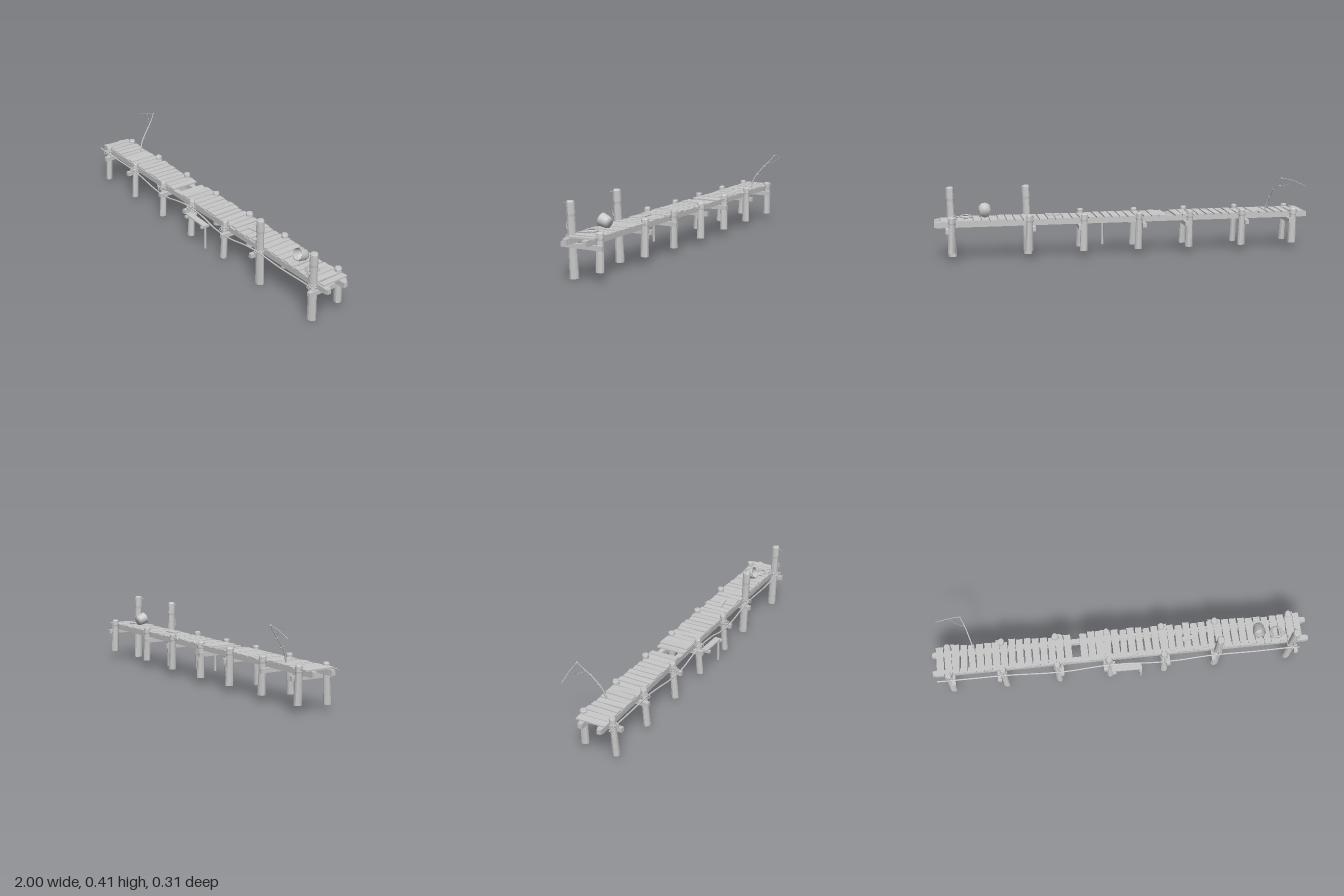
import * as THREE from 'three';

export function createModel() {
  const pier = new THREE.Group();
  pier.name = 'pier';
  const wood = new THREE.MeshStandardMaterial({ color: 0xc8c8c8, side: THREE.DoubleSide });
  wood.name = 'weatheredGrey';
  const V = (x, y, z) => new THREE.Vector3(x, y, z);

  // small seeded generator, result in -1..1
  let seed = 11;
  const rnd = () => {
    seed = (seed * 16807) % 2147483647;
    return (seed / 2147483647) * 2 - 1;
  };
  const add = (name, geo, parent = pier) => {
    const m = new THREE.Mesh(geo, wood);
    m.name = name;
    parent.add(m);
    return m;
  };
  const box = (name, w, h, d, x, y, z, parent) => {
    const m = add(name, new THREE.BoxGeometry(w, h, d), parent);
    m.position.set(x, y, z);
    return m;
  };
  const tube = (name, pts, r, sides = 6, parent) =>
    add(name, new THREE.TubeGeometry(new THREE.CatmullRomCurve3(pts), pts.length * 8, r, sides), parent);

  // round post with a worn, chamfered top, leaning from base to head
  const post = (name, base, head, r) => {
    const h = head.y - base.y;
    const profile = [[0, 0], [r * 1.08, 0], [r * 1.08, 0.001], [r, h * 0.5], [r * 0.93, h * 0.8],
      [r, h * 0.84], [r * 0.94, h - 0.006], [r * 0.78, h], [0, h]];
    const geo = new THREE.LatheGeometry(profile.map(p => new THREE.Vector2(...p)), 12);
    const pos = geo.attributes.position;
    const a = rnd() * 3;
    for (let i = 0; i < pos.count; i++) {
      const t = pos.getY(i) / h;
      const ang = Math.atan2(pos.getZ(i), pos.getX(i));
      const k = 1 + 0.06 * Math.sin(3 * ang + a);
      pos.setXYZ(i, base.x + pos.getX(i) * k + (head.x - base.x) * t, base.y + pos.getY(i),
        base.z + pos.getZ(i) * k + (head.z - base.z) * t);
    }
    const flat = geo.toNonIndexed();
    flat.computeVertexNormals();
    return add(name, flat);
  };

  // posts, cross beams and rope lashings
  const postX = [-0.917, -0.63, -0.343, -0.068, 0.225, 0.512, 0.91];
  postX.forEach((x, i) => {
    const tall = i > 4;
    const r = tall ? 0.021 : 0.017;
    if (tall) post('tallFrontPost', V(x - 0.004, 0, 0.088), V(x + 0.004, 0.368, 0.098), r);
    else post('frontPost', V(x + 0.004, 0.026, 0.108), V(x, 0.232 + rnd() * 0.004, 0.095), r);
    post('backPost', V(x + 0.006, 0.042 + rnd() * 0.006, -0.064), V(x, 0.232 + rnd() * 0.004, -0.062), 0.019);

    const side = i % 2 ? -1 : 1;
    const beam = box('crossBeam', 0.02, 0.023, 0.23, x + side * 0.022, 0.164, 0.023);
    beam.rotation.y = rnd() * 0.03;

    for (const dy of [0, 0.009]) {
      const ring = add('lashing', new THREE.TorusGeometry(r * 1.08, 0.003, 5, 16));
      ring.position.set(x, 0.19 + dy, tall ? 0.093 : 0.098);
      ring.rotation.x = Math.PI / 2 + rnd() * 0.12;
    }
    const knot = add('ropeKnot', new THREE.TorusGeometry(0.009, 0.003, 5, 12));
    knot.position.set(x, 0.194, 0.122);
    knot.rotation.y = Math.PI / 2;

    if (tall) {
      const pin = add('postPin', new THREE.CylinderGeometry(0.0016, 0.0016, 0.066, 6));
      pin.position.set(x, 0.353, 0.105);
      pin.rotation.x = Math.PI / 2;
      tube('postHook', [V(x, 0.268, 0.114), V(x, 0.262, 0.121), V(x, 0.245, 0.123), V(x, 0.23, 0.117)], 0.003);
    }
  });

  // long stringers
  box('frontStringer', 1.98, 0.029, 0.028, 0, 0.191, 0.072).rotation.x = 0.03;
  box('backStringer', 1.98, 0.029, 0.026, 0, 0.191, -0.031);
  for (const z of [0.072, -0.031]) for (const s of [-1, 1])
    box('stringerEnd', 0.05, 0.026, 0.022, s * 0.975, 0.191, z);

  // deck planks with a missing one
  const pitch = 0.0424;
  for (let i = 0; i < 46; i++) {
    const x = -0.957 + i * pitch;
    if (Math.abs(x + 0.24) < 0.022) continue;
    const plank = box('deckPlank', 0.036 + rnd() * 0.003, 0.008, 0.154 + rnd() * 0.009,
      x, 0.2105 + rnd() * 0.0015, 0.009 + rnd() * 0.005);
    plank.rotation.set(rnd() * 0.012, rnd() * 0.03, rnd() * 0.05);
  }
  const loose = box('loosePlank', 0.08, 0.006, 0.022, 0.37, 0.219, 0.016);
  loose.rotation.set(0, 0.15, 0.04);

  // rope slung along the front
  tube('frontRope', [[-0.98, 0.2], [-0.8, 0.197], [-0.63, 0.196], [-0.52, 0.184], [-0.42, 0.168], [-0.34, 0.163],
    [-0.27, 0.166], [-0.16, 0.188], [-0.068, 0.198], [0.06, 0.19], [0.14, 0.172], [0.22, 0.165], [0.31, 0.169],
    [0.42, 0.188], [0.512, 0.196], [0.7, 0.19], [0.91, 0.194], [0.95, 0.188]].map(([x, y]) => V(x, y, 0.118)), 0.0042);

  // low side landing with its leg
  const landing = new THREE.Group();
  landing.name = 'sideLanding';
  pier.add(landing);
  box('landingBoard', 0.16, 0.008, 0.034, 0.022, 0.161, 0.129, landing).rotation.z = -0.04;
  box('landingBearer', 0.018, 0.012, 0.07, -0.045, 0.155, 0.122, landing);
  box('landingBearer', 0.014, 0.01, 0.05, 0.095, 0.153, 0.132, landing);
  const leg = add('landingLeg', new THREE.CylinderGeometry(0.006, 0.007, 0.13, 8), landing);
  leg.position.set(0.1, 0.092, 0.132);

  // tipped bucket with its mouth toward the front
  const bucket = new THREE.Group();
  bucket.name = 'bucket';
  const wall = [[0, 0], [0.025, 0], [0.0295, 0.018], [0.032, 0.036], [0.0325, 0.054],
    [0.0295, 0.054], [0.029, 0.036], [0.023, 0.005], [0, 0.005]];
  add('bucketWall', new THREE.LatheGeometry(wall.map(p => new THREE.Vector2(...p)), 18), bucket);
  for (const [y, r] of [[0.011, 0.0285], [0.043, 0.0328]]) {
    const hoop = add('bucketHoop', new THREE.CylinderGeometry(r + 0.0006, r, 0.006, 18, 1, true), bucket);
    hoop.position.y = y;
  }
  const handle = add('bucketHandle', new THREE.TorusGeometry(0.033, 0.0014, 5, 16, Math.PI), bucket);
  handle.position.y = 0.05;
  handle.rotation.x = 1.9;
  bucket.position.set(0.738, 0.241, -0.005);
  bucket.rotation.set(1.22, 0, 0);
  pier.add(bucket);

  // coiled rope
  const coil = [];
  for (let i = 0; i <= 40; i++) {
    const a = (i / 40) * Math.PI * 7;
    const r = 0.034 - 0.0003 * i + 0.002 * Math.sin(a * 0.7);
    coil.push(V(0.835 + r * Math.cos(a), 0.218 + i * 0.00018, 0.034 + r * Math.sin(a)));
  }
  tube('ropeCoil', coil, 0.0035);
  tube('ropeTail', [V(0.869, 0.218, 0.034), V(0.885, 0.219, 0.05), V(0.898, 0.22, 0.068)], 0.0035);

  // curved fishing rod, reel pegs and line
  const rod = new THREE.Group();
  rod.name = 'fishingRod';
  pier.add(rod);
  const rodPts = [V(-0.768, 0.212, -0.027), V(-0.775, 0.255, -0.038), V(-0.782, 0.29, -0.057),
    V(-0.793, 0.338, -0.096), V(-0.806, 0.375, -0.13), V(-0.818, 0.407, -0.153)];
  for (let i = 0; i < 5; i++) {
    const r = 0.0042 - i * 0.0005;
    const curve = new THREE.CatmullRomCurve3(rodPts);
    const pts = [0, 0.5, 1].map(t => curve.getPoint((i + t) / 5));
    tube('rodSection', pts, r, 8, rod);
  }
  for (const p of [rodPts[2], rodPts[3]]) {
    const peg = add('rodPeg', new THREE.CylinderGeometry(0.0025, 0.0025, 0.018, 6), rod);
    peg.position.set(p.x, p.y + 0.002, p.z - 0.003);
    peg.rotation.x = 1.2;
  }
  const tip = add('rodTip', new THREE.OctahedronGeometry(0.005), rod);
  tip.position.copy(rodPts[5]);
  tube('rodArm', [V(-0.815, 0.406, -0.153), V(-0.87, 0.394, -0.154), V(-0.95, 0.361, -0.154)], 0.0018, 6, rod);
  tube('slackLine', [V(-0.88, 0.39, -0.154), V(-0.865, 0.372, -0.146), V(-0.835, 0.362, -0.13),
    V(-0.8, 0.358, -0.115)], 0.0009, 5, rod);

  return pier;
}
